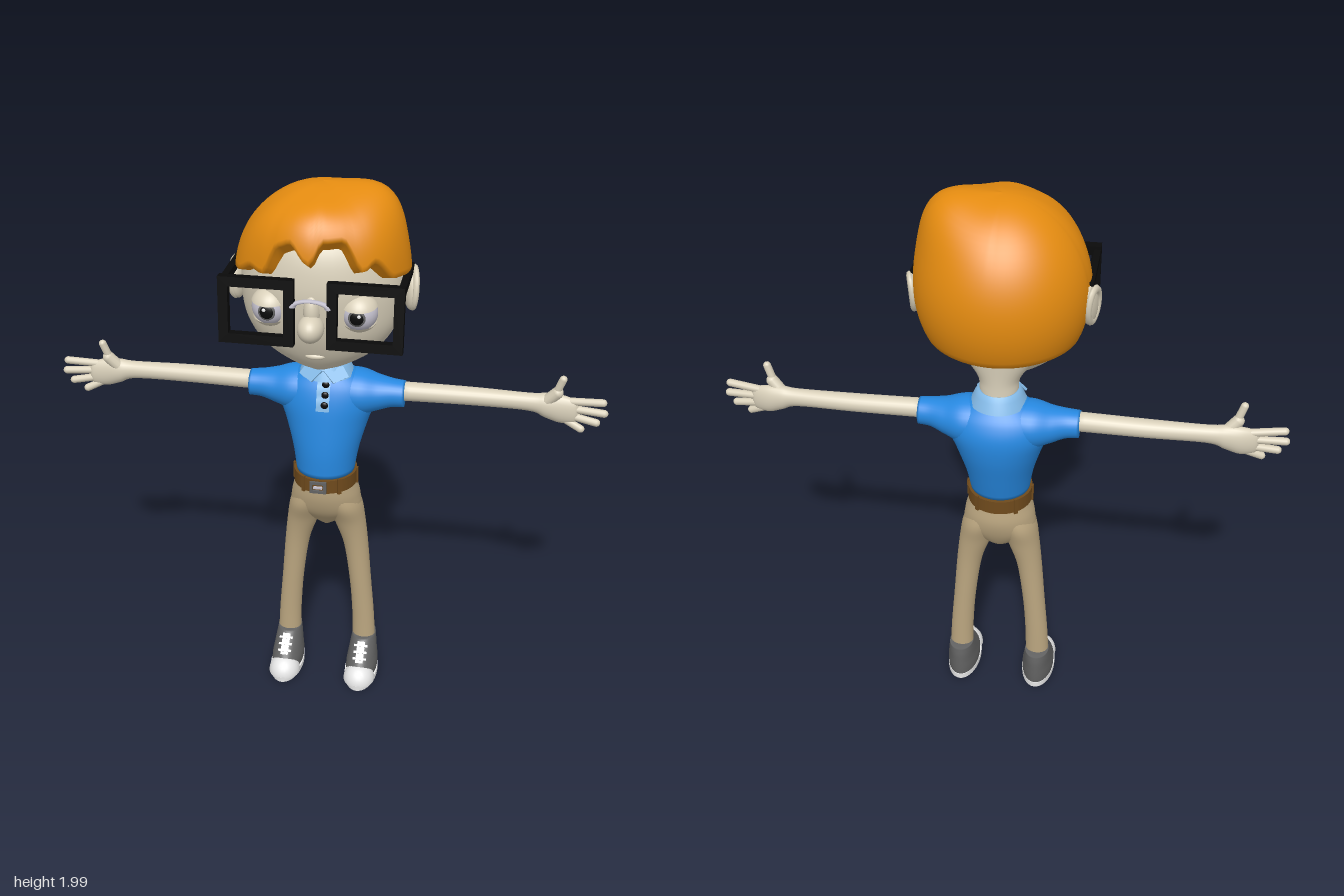
import * as THREE from 'three';
import { mergeVertices } from 'three/addons/utils/BufferGeometryUtils.js';

const mat = (name, color, side = THREE.FrontSide) => {
  const m = new THREE.MeshStandardMaterial({ color, side });
  m.name = name;
  return m;
};

// Smooth surface from rings of points; each ring wraps around
function rings(ni, nj, point) {
  const pos = [], idx = [];
  for (let i = 0; i <= ni; i++) for (let j = 0; j < nj; j++) pos.push(...point(i, j));
  for (let i = 0; i < ni; i++) for (let j = 0; j < nj; j++) {
    const k = (j + 1) % nj, a = i * nj + j, b = a + nj, c = i * nj + k, d = c + nj;
    idx.push(a, b, c, c, b, d);
  }
  const g = new THREE.BufferGeometry();
  g.setAttribute('position', new THREE.Float32BufferAttribute(pos, 3));
  g.setIndex(idx);
  const merged = mergeVertices(g, 1e-5);
  merged.computeVertexNormals();
  return merged;
}

// Elliptical loft along 'y' (radii x, z) or 'x' (radii z, y); rows are [x, y, z, ru, rv]
function loft(axis, rows, steps = 24, seg = 32) {
  const centre = new THREE.CatmullRomCurve3(rows.map(r => new THREE.Vector3(r[0], r[1], r[2])), false, 'catmullrom');
  const radii = new THREE.CatmullRomCurve3(rows.map(r => new THREE.Vector3(r[3], r[4], 0)), false, 'catmullrom');
  return rings(steps + 2, seg, (i, j) => {
    const t = Math.min(Math.max((i - 1) / steps, 0), 1), cap = i === 0 || i === steps + 2 ? 0 : 1;
    const c = centre.getPoint(t), r = radii.getPoint(t), a = j / seg * Math.PI * 2;
    const u = Math.cos(a) * Math.max(r.x, 0) * cap, v = Math.sin(a) * Math.max(r.y, 0) * cap;
    return axis === 'y' ? [c.x + u, c.y, c.z + v] : [c.x, c.y + v, c.z + u];
  });
}

// Rows given as [y, halfWidth, front z, back z]
const bodyLoft = (rows, steps, seg) =>
  loft('y', rows.map(([y, w, f, b]) => [0, y, (f + b) / 2, w, (f - b) / 2]), steps, seg);

function table(t, x) {
  let i = 0;
  while (i < t.length - 2 && x > t[i + 1][0]) i++;
  const s = THREE.MathUtils.smoothstep(x, t[i][0], t[i + 1][0]);
  return t[i][1] + (t[i + 1][1] - t[i][1]) * s;
}

const ball = (x, y, z, rx, ry, rz) => new THREE.SphereGeometry(1, 28, 20).scale(rx, ry, rz).translate(x, y, z);
const box = (w, h, d, x, y, z, tilt = 0) => new THREE.BoxGeometry(w, h, d).rotateX(tilt).translate(x, y, z);

function capsule(p, q, r) {
  const a = new THREE.Vector3(...p), b = new THREE.Vector3(...q), d = b.clone().sub(a);
  const turn = new THREE.Quaternion().setFromUnitVectors(new THREE.Vector3(0, 1, 0), d.clone().normalize());
  const mid = a.add(b).multiplyScalar(0.5);
  return new THREE.CapsuleGeometry(r, d.length(), 6, 12).applyQuaternion(turn).translate(mid.x, mid.y, mid.z);
}

function frame(w, h, bar, depth) {
  const rect = (S, x, y) => new S().moveTo(-x, -y).lineTo(x, -y).lineTo(x, y).lineTo(-x, y).closePath();
  const s = rect(THREE.Shape, w / 2, h / 2);
  s.holes.push(rect(THREE.Path, w / 2 - bar, h / 2 - bar));
  return new THREE.ExtrudeGeometry(s, { depth, bevelEnabled: false }).translate(0, 0, -depth / 2);
}

function mirrored(geo) {
  const g = geo.index ? geo.clone() : mergeVertices(geo);
  g.scale(-1, 1, 1);
  const a = g.index.array;
  for (let i = 0; i < a.length; i += 3) [a[i], a[i + 1]] = [a[i + 1], a[i]];
  const n = g.attributes.normal;
  n.needsUpdate = true;
  return g;
}

// Hair shell: polar angle of the hairline (degrees) by azimuth, 0 at the front, + toward +x
const hairline = [[-180, 120], [-103, 118], [-96, 82], [-62, 80], [-45, 74], [-34, 76], [-22, 60], [-13, 58],
  [0, 68], [9, 57], [22, 56], [34, 72], [42, 68], [60, 79], [96, 82], [103, 118], [180, 120]];
function hairGeometry() {
  const ni = 30, nj = 120, rad = Math.PI / 180;
  const bump = (x, c, w) => Math.exp(-(((x - c) / w) ** 2));
  return rings(ni, nj, (i, j) => {
    const deg = j / nj * 360 - 180, a = deg * rad;
    const t = Math.min(i / (ni - 2), 1), phi = t * table(hairline, deg), p = phi * rad;
    let k = 1 + 0.17 * bump(deg, 0, 50) * bump(phi, 52, 22);
    k += 0.17 * bump(deg, 95, 45) * bump(phi, 38, 20) + 0.06 * bump(deg, 60, 40) * bump(phi, 60, 25);
    k += 0.018 * Math.sin(7 * a + p * 2) * Math.sin(p) ** 2 * (Math.cos(a) > 0 ? Math.cos(a) : 0);
    if (i === ni - 1) k *= 0.95;
    if (i === ni) k *= 0.8;
    const s = Math.sin(p) * k;
    return [0.29 * s * Math.sin(a), 1.66 + 0.325 * Math.cos(p) * k, (Math.cos(a) > 0 ? 0.245 : 0.275) * s * Math.cos(a)];
  });
}

export function createModel() {
  const model = new THREE.Group();
  model.name = 'boyWithGlasses';
  const skin = mat('skin', 0xd9d0ba, THREE.DoubleSide), hair = mat('orangeHair', 0xe48b10);
  const blue = mat('blueShirt', 0x2688e0), paleBlue = mat('paleBlueTrim', 0x86bdeb, THREE.DoubleSide);
  const tan = mat('tanTrousers', 0xbba680), brown = mat('brownBelt', 0x6f4a1c), black = mat('black', 0x0a0a0a);
  const grey = mat('greyCanvas', 0x626262), white = mat('white', 0xe8e8e8), lilac = mat('paleLilac', 0xc6c3d0);

  const add = (name, geo, m) => {
    const mesh = new THREE.Mesh(geo, m);
    mesh.name = name;
    model.add(mesh);
    return mesh;
  };
  const pair = (name, geo, m) => {
    add(name + 'Left', geo, m);
    add(name + 'Right', mirrored(geo), m);
  };

  // Head
  add('head', bodyLoft([[1.358, 0.04, 0.07, -0.03], [1.385, 0.115, 0.105, -0.09], [1.44, 0.195, 0.145, -0.13],
    [1.52, 0.25, 0.18, -0.18], [1.61, 0.272, 0.2, -0.23], [1.7, 0.27, 0.205, -0.245], [1.8, 0.243, 0.185, -0.225],
    [1.88, 0.18, 0.13, -0.17], [1.935, 0.08, 0.05, -0.09], [1.945, 0.01, 0, -0.02]], 40, 48), skin);
  add('neck', bodyLoft([[1.26, 0.068, -0.02, -0.15], [1.33, 0.066, -0.025, -0.145], [1.38, 0.075, -0.01, -0.145],
    [1.45, 0.13, 0.03, -0.15]]), skin);
  add('nose', ball(0, 1.57, 0.215, 0.043, 0.045, 0.055), skin);
  add('noseBridge', ball(0, 1.62, 0.19, 0.028, 0.06, 0.035), skin);
  add('lowerLip', ball(0, 1.44, 0.138, 0.035, 0.012, 0.016), skin);
  pair('ear', new THREE.SphereGeometry(1, 24, 16).scale(0.022, 0.075, 0.048).rotateX(-0.25).rotateY(0.3)
    .translate(0.285, 1.635, -0.03), skin);
  pair('earRim', new THREE.TorusGeometry(0.042, 0.011, 8, 28).scale(1, 1.45, 1).rotateY(Math.PI / 2 + 0.3)
    .rotateX(-0.25).translate(0.297, 1.635, -0.03), skin);
  add('hair', hairGeometry(), hair);

  // Eyes with heavy lids
  const ex = 0.145, ey = 1.61, ez = 0.145;
  pair('eyeball', ball(ex, ey, ez, 0.06, 0.06, 0.058), lilac);
  const lid = (from, length) => new THREE.SphereGeometry(0.065, 28, 12, 0, Math.PI * 2, from, length)
    .rotateX(0.12).translate(ex, ey, ez);
  pair('upperLid', lid(0, 1.15), skin);
  pair('lowerLid', lid(2.1, Math.PI - 2.1), skin);
  pair('iris', ball(ex, ey, ez + 0.055, 0.028, 0.028, 0.006), grey);
  pair('pupil', ball(ex, ey, ez + 0.058, 0.022, 0.022, 0.006), black);
  pair('eyeGlint', ball(ex + 0.008, ey + 0.009, ez + 0.063, 0.006, 0.006, 0.003), white);

  // Square glasses
  pair('glassesFrame', frame(0.244, 0.22, 0.032, 0.03).rotateX(-0.06).translate(0.175, 1.62, 0.215), black);
  pair('glassesArm', box(0.022, 0.026, 0.25, 0.285, 1.705, 0.085), black);
  add('glassesBridge', new THREE.TorusGeometry(0.058, 0.012, 8, 20, Math.PI).scale(1, 0.4, 1)
    .translate(0, 1.642, 0.22), lilac);

  // Polo shirt
  add('shirtBody', bodyLoft([[0.91, 0.105, 0.04, -0.165], [1.0, 0.12, 0.04, -0.19], [1.1, 0.148, 0.03, -0.215],
    [1.18, 0.175, 0.018, -0.22], [1.24, 0.165, 0, -0.2], [1.285, 0.105, -0.025, -0.165],
    [1.31, 0.06, -0.045, -0.145]], 36, 48), blue);
  pair('sleeve', loft('x', [[0.04, 1.205, -0.1, 0.09, 0.085], [0.12, 1.205, -0.1, 0.09, 0.082],
    [0.18, 1.207, -0.097, 0.07, 0.064], [0.23, 1.212, -0.092, 0.054, 0.051], [0.275, 1.212, -0.09, 0.048, 0.047]]), blue);
  add('collar', new THREE.LatheGeometry([[0.062, 1.33], [0.07, 1.335], [0.082, 1.315], [0.098, 1.28]].reverse()
    .map(p => new THREE.Vector2(...p)), 40).translate(0, 0, -0.09), paleBlue);
  const flap = new THREE.Shape([[0, 0.025], [0.028, -0.022], [0.085, -0.005], [0.07, 0.035]].map(p => new THREE.Vector2(...p)));
  pair('collarFlap', new THREE.ExtrudeGeometry(flap, { depth: 0.009, bevelEnabled: false })
    .rotateX(-0.6).rotateY(0.45).translate(0.006, 1.292, 0.003), paleBlue);
  const shirtFront = [[1.17, 0.028], [1.2, 0.023], [1.24, 0.008], [1.285, -0.014]];
  const placket = new THREE.PlaneGeometry(0.046, 0.11, 1, 8).translate(0.003, 1.23, 0);
  const pp = placket.attributes.position;
  for (let i = 0; i < pp.count; i++) pp.setZ(i, table(shirtFront, pp.getY(i)));
  placket.computeVertexNormals();
  add('placket', placket, paleBlue);
  for (const y of [1.2, 1.233, 1.266]) add('button', ball(0.01, y, table(shirtFront, y) + 0.003, 0.013, 0.013, 0.007), black);

  // Arms and hands
  pair('arm', loft('x', [[0.25, 1.222, -0.09, 0.034, 0.034], [0.5, 1.222, -0.095, 0.033, 0.032],
    [0.7, 1.22, -0.092, 0.028, 0.032], [0.76, 1.213, -0.09, 0.031, 0.045], [0.81, 1.204, -0.09, 0.027, 0.052],
    [0.855, 1.2, -0.085, 0.018, 0.045], [0.87, 1.2, -0.083, 0.008, 0.03]], 36, 24), skin);
  for (const [y0, x1, y1] of [[1.235, 0.95, 1.245], [1.21, 0.958, 1.205], [1.185, 0.935, 1.168], [1.165, 0.885, 1.14]])
    pair('finger', capsule([0.83, y0, -0.088], [x1, y1, -0.075], 0.0135), skin);
  pair('thumbBase', capsule([0.755, 1.225, -0.085], [0.795, 1.27, -0.075], 0.021), skin);
  pair('thumb', capsule([0.79, 1.265, -0.075], [0.81, 1.325, -0.068], 0.0135), skin);

  // Trousers
  add('hips', bodyLoft([[0.655, 0.015, -0.07, -0.1], [0.685, 0.06, -0.04, -0.13], [0.74, 0.125, 0.005, -0.16],
    [0.8, 0.126, 0.03, -0.175], [0.86, 0.112, 0.038, -0.17], [0.925, 0.1, 0.035, -0.16]], 28, 40), tan);
  pair('trouserLeg', loft('y', [[0.148, 0.13, -0.092, 0.044, 0.037], [0.143, 0.25, -0.092, 0.042, 0.038],
    [0.131, 0.4, -0.09, 0.041, 0.041], [0.112, 0.57, -0.087, 0.046, 0.047], [0.088, 0.68, -0.083, 0.058, 0.062],
    [0.07, 0.76, -0.076, 0.062, 0.085], [0.05, 0.82, -0.07, 0.05, 0.085]], 32, 28), tan);

  // Belt
  add('belt', new THREE.CylinderGeometry(1, 1, 0.052, 48).scale(0.114, 1, 0.113).translate(0, 0.883, -0.063), brown);
  for (const a of [0.6, -0.6, 1.57, -1.57, 2.5, -2.5])
    add('beltLoop', new THREE.BoxGeometry(0.014, 0.062, 0.008).rotateY(a)
      .translate(0.115 * Math.sin(a), 0.883, -0.063 + 0.114 * Math.cos(a)), brown);
  add('buckle', frame(0.06, 0.045, 0.01, 0.01).translate(-0.008, 0.883, 0.053), grey);
  add('bucklePin', box(0.032, 0.008, 0.008, -0.008, 0.883, 0.055), lilac);

  // Canvas shoes
  const sx = 0.148;
  pair('shoeUpper', loft('y', [[sx, 0.012, -0.05, 0.059, 0.112], [sx, 0.05, -0.052, 0.06, 0.112],
    [sx, 0.085, -0.066, 0.055, 0.098], [sx, 0.12, -0.085, 0.05, 0.078], [sx, 0.152, -0.1, 0.045, 0.058]]), grey);
  pair('toeCap', new THREE.SphereGeometry(1, 28, 12, 0, Math.PI * 2, 0, Math.PI / 2)
    .scale(0.06, 0.064, 0.064).translate(sx, 0.014, 0.026), white);
  pair('sole', new THREE.CylinderGeometry(1, 1, 0.022, 40).scale(0.063, 1, 0.128).translate(sx, 0.011, -0.037), white);
  pair('tongue', box(0.03, 0.085, 0.009, sx, 0.118, 0.002, -0.82), white);
  for (const s of [-0.026, 0, 0.026])
    pair('lace', box(0.052, 0.009, 0.009, sx, 0.12 + s * 0.68, 0.004 - s * 0.73, -0.82), white);

  return model;
}
